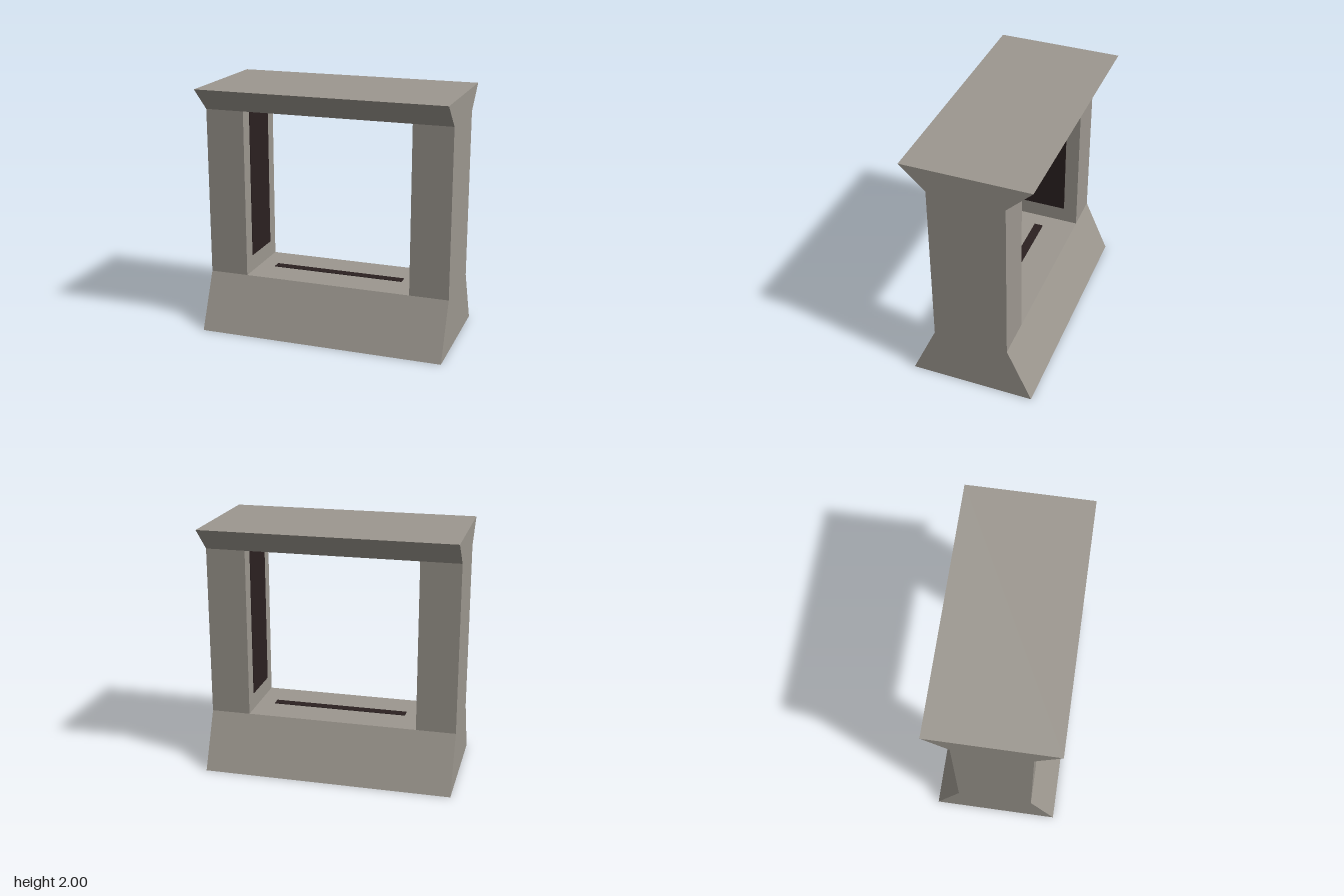
import * as THREE from 'three';

const W = 1, D = 0.5;               // half width, half depth at base and cap
const IN = 0.685, WAIST = 0.3;      // half opening width, half depth of posts
const SILL = 0.45, LINTEL = 1.81, TOP = 2;

const stone = new THREE.MeshStandardMaterial({ color: 0x9c978f });
stone.name = 'warm grey stone';
const dark = new THREE.MeshStandardMaterial({ color: 0x2b2020 });
dark.name = 'dark brown inlay';

// Flat-shaded surface from four-cornered faces, counter-clockwise from outside
function quads(name, faces) {
  const pos = [];
  for (const [a, b, c, d] of faces) pos.push(...a, ...b, ...c, ...a, ...c, ...d);
  const geo = new THREE.BufferGeometry();
  geo.setAttribute('position', new THREE.Float32BufferAttribute(pos, 3));
  geo.computeVertexNormals();
  const mesh = new THREE.Mesh(geo, stone);
  mesh.name = name;
  return mesh;
}

// Horizontal rectangle facing up or down
function level(y, x, z, up) {
  const f = [[-x, y, z], [x, y, z], [x, y, -z], [-x, y, -z]];
  return up ? f : f.reverse();
}

// Front and back slopes between two heights
function slopes(y0, z0, y1, z1) {
  return [1, -1].map(s => [[-s * W, y0, s * z0], [s * W, y0, s * z0], [s * W, y1, s * z1], [-s * W, y1, s * z1]]);
}

// Flat ends on the left and right
function ends(y0, z0, y1, z1) {
  return [1, -1].map(s => [[s * W, y0, s * z0], [s * W, y0, -s * z0], [s * W, y1, -s * z1], [s * W, y1, s * z1]]);
}

// Upright wall facing +x or -x
function wall(x, s) {
  return [[x, SILL, s * WAIST], [x, SILL, -s * WAIST], [x, LINTEL, -s * WAIST], [x, LINTEL, s * WAIST]];
}

export function createModel() {
  const model = new THREE.Group();
  model.name = 'stoneFrame';

  // Flared base with the sill on top
  model.add(quads('base', [
    level(0, W, D, false), level(SILL, IN, WAIST, true),
    ...slopes(0, D, SILL, WAIST), ...ends(0, D, SILL, WAIST),
  ]));

  // Flared lintel
  model.add(quads('lintel', [
    level(TOP, W, D, true), level(LINTEL, IN, WAIST, false),
    ...slopes(LINTEL, WAIST, TOP, D), ...ends(LINTEL, WAIST, TOP, D),
  ]));

  const inlay = (name, w, h, d, x, y) => {
    const mesh = new THREE.Mesh(new THREE.BoxGeometry(w, h, d), dark);
    mesh.position.set(x, y, 0);
    mesh.name = name;
    model.add(mesh);
  };

  // Posts with a broad inlay on each inner wall
  for (const [side, s] of [['left', 1], ['right', -1]]) {
    const [x0, x1] = s > 0 ? [IN, W] : [-W, -IN];
    const faces = [1, -1].map(f => {
      const [a, b] = f > 0 ? [x0, x1] : [x1, x0], z = f * WAIST;
      return [[a, SILL, z], [b, SILL, z], [b, LINTEL, z], [a, LINTEL, z]];
    });
    model.add(quads(side + 'Post', [...faces, wall(s * W, s), wall(s * IN, -s)]));
    inlay(side + 'Inlay', 0.008, 1.21, 0.37, s * IN, 1.19);
  }

  // Narrow inlays on the sill and under the lintel
  inlay('sillInlay', 1.1, 0.008, 0.075, 0, SILL);
  inlay('lintelInlay', 1.1, 0.008, 0.075, 0, LINTEL);
  return model;
}
